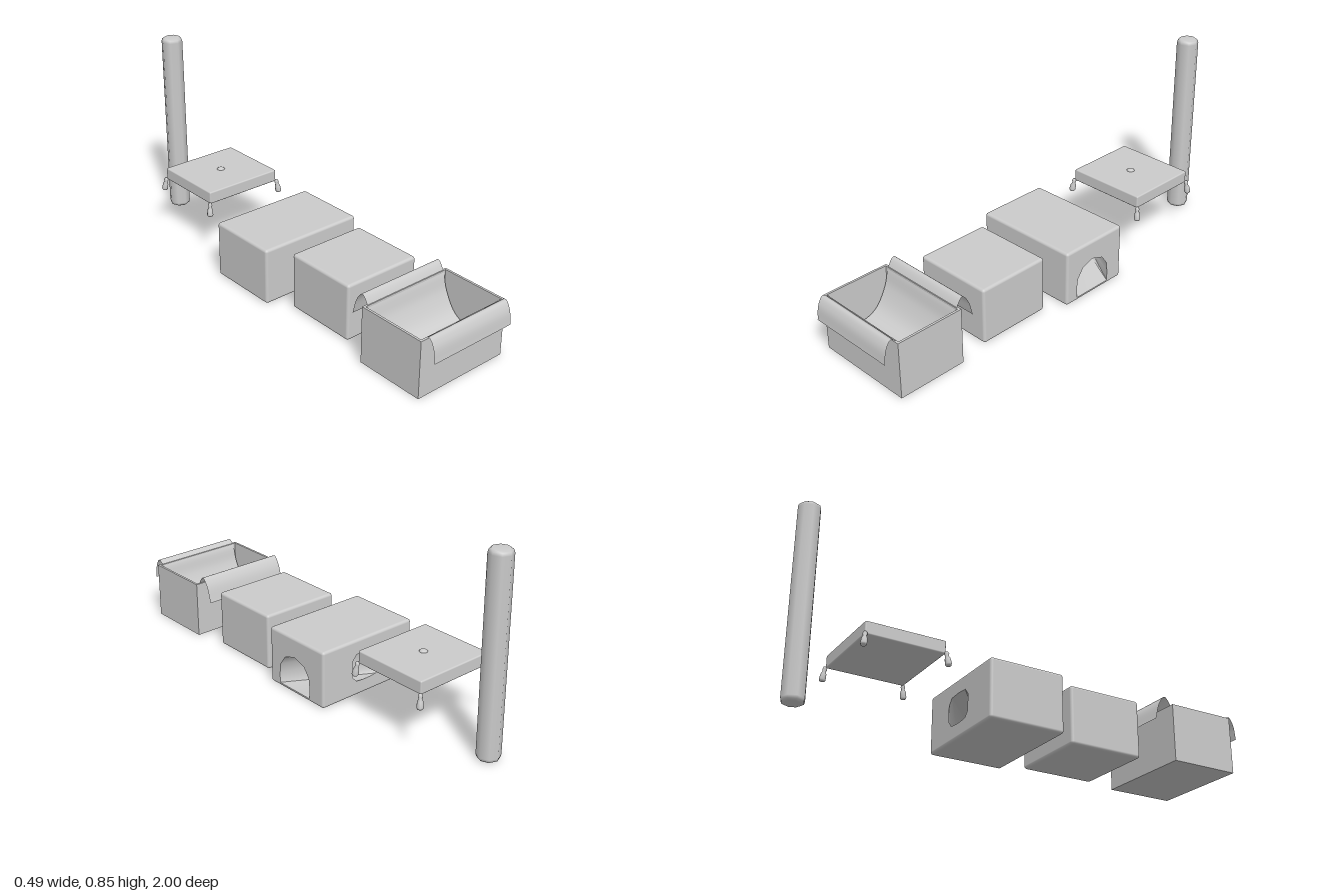
import * as THREE from 'three';
import { RoundedBoxGeometry } from 'three/addons/geometries/RoundedBoxGeometry.js';
import { toCreasedNormals } from 'three/addons/utils/BufferGeometryUtils.js';

const solid = new THREE.MeshStandardMaterial({ color: 0xcccccc });
const thin = new THREE.MeshStandardMaterial({ color: 0xcccccc, side: THREE.DoubleSide });
const v2 = (list) => list.map(([x, y]) => new THREE.Vector2(x, y));

function add(parent, name, geometry, x = 0, y = 0, z = 0, material = solid) {
  const mesh = new THREE.Mesh(geometry, material);
  mesh.name = name;
  mesh.position.set(x, y, z);
  parent.add(mesh);
  return mesh;
}

// Surface between equal-length loops of points
function loft(rows, closed) {
  const n = rows[0].length, pos = [], idx = [];
  rows.forEach((row) => row.forEach((p) => pos.push(...p)));
  for (let r = 0; r < rows.length - 1; r++) {
    for (let i = 0; i < (closed ? n : n - 1); i++) {
      const j = (i + 1) % n, a = r * n + i, b = r * n + j;
      idx.push(a, b, a + n, b, b + n, a + n);
    }
  }
  const g = new THREE.BufferGeometry();
  g.setAttribute('position', new THREE.Float32BufferAttribute(pos, 3));
  g.setIndex(idx);
  g.computeVertexNormals();
  return g;
}

// Drop the flat triangles that the test accepts
function removeFlat(geometry, test) {
  const p = geometry.attributes.position, nrm = geometry.attributes.normal;
  const pos = [], normals = [];
  for (let i = 0; i < p.count; i += 3) {
    const tri = [i, i + 1, i + 2];
    if (tri.every((k) => test(p.getX(k), p.getZ(k)))) continue;
    for (const k of tri) {
      pos.push(p.getX(k), p.getY(k), p.getZ(k));
      normals.push(nrm.getX(k), nrm.getY(k), nrm.getZ(k));
    }
  }
  const g = new THREE.BufferGeometry();
  g.setAttribute('position', new THREE.Float32BufferAttribute(pos, 3));
  g.setAttribute('normal', new THREE.Float32BufferAttribute(normals, 3));
  return g;
}

function rectangle(w, h, cx, cy) {
  return new THREE.Shape(v2([
    [cx - w / 2, cy - h / 2], [cx + w / 2, cy - h / 2],
    [cx + w / 2, cy + h / 2], [cx - w / 2, cy + h / 2],
  ]));
}

// Open basket with a cloth sagging between its front and back rims
function makeBasket() {
  const g = new THREE.Group();
  g.name = 'basket';
  const w = 0.455, d = 0.312, cx = -0.006, cz = 0.791, t = 0.01;
  const walls = rectangle(w, d, 0, 0);
  walls.holes.push(rectangle(w - 2 * t, d - 2 * t, 0, 0));
  const wallGeo = new THREE.ExtrudeGeometry(walls, { depth: 0.252, bevelEnabled: false });
  add(g, 'basketWalls', wallGeo.rotateX(-Math.PI / 2), cx, 0, cz);
  add(g, 'basketFloor', new THREE.BoxGeometry(w - 2 * t, 0.012, d - 2 * t), cx, 0.006, cz);

  // Cloth profile from front hem to back hem, as z and y
  const curve = new THREE.CatmullRomCurve3([
    [0.998, 0.17], [0.988, 0.235], [0.965, 0.268], [0.938, 0.248], [0.915, 0.17],
    [0.86, 0.085], [0.79, 0.06], [0.72, 0.085], [0.665, 0.17], [0.642, 0.25],
    [0.612, 0.288], [0.583, 0.255], [0.56, 0.18],
  ].map(([z, y]) => new THREE.Vector3(0, y, z)));
  const line = curve.getPoints(60);
  const rows = [-0.212, 0.202].map((x) => line.map((p) => [x, p.y, p.z]));
  add(g, 'basketCloth', loft(rows, false), 0, 0, 0, thin);
  return g;
}

// Closed box with a bent tunnel from an arched door to a rear window
function makeHideaway() {
  const g = new THREE.Group();
  g.name = 'hideaway';
  const w = 0.494, h = 0.254, d = 0.336, cz = -0.097, r = 0.012, e = 1e-5;
  const shell = removeFlat(new RoundedBoxGeometry(w, h, d, 3, r),
    (x, z) => x > w / 2 - e || z < -d / 2 + e);
  add(g, 'hideawayShell', shell, 0, h / 2, cz);

  const door = [
    [-0.095, 0.014], [-0.04, 0.014], [0.04, 0.014], [0.095, 0.014], [0.095, 0.06], [0.09, 0.105],
    [0.06, 0.147], [0, 0.168], [-0.06, 0.147], [-0.09, 0.105], [-0.095, 0.06],
  ];
  const rear = [
    [-0.055, 0.066], [-0.02, 0.062], [0.02, 0.062], [0.055, 0.066], [0.077, 0.09], [0.077, 0.162],
    [0.055, 0.188], [0, 0.192], [-0.055, 0.188], [-0.077, 0.162], [-0.077, 0.09],
  ];
  const doorZ = -0.085, rearX = 0.01;
  const side = rectangle(d - 2 * r, h - 2 * r, -cz, h / 2);
  side.holes.push(new THREE.Path(v2(door.map(([u, y]) => [u - doorZ, y]))));
  add(g, 'doorPanel', new THREE.ShapeGeometry(side).rotateY(Math.PI / 2), w / 2, 0, 0);
  const back = rectangle(w - 2 * r, h - 2 * r, 0, h / 2);
  back.holes.push(new THREE.Path(v2(rear.map(([u, y]) => [-(rearX + u), y]))));
  add(g, 'windowPanel', new THREE.ShapeGeometry(back).rotateY(Math.PI), 0, 0, cz - d / 2);

  const tunnel = loft([
    door.map(([u, y]) => [w / 2, y, doorZ - u]),
    rear.map(([u, y]) => [rearX + u, y, cz - d / 2]),
  ], true);
  add(g, 'tunnel', toCreasedNormals(tunnel, 0.7), 0, 0, 0, thin);
  return g;
}

// Flat cushion with a centre button and a tassel at each corner
function makeCushion() {
  const g = new THREE.Group();
  g.name = 'cushion';
  const cx = 0.016, cz = -0.592;
  add(g, 'cushionPad', new RoundedBoxGeometry(0.372, 0.056, 0.342, 2, 0.006), cx, 0.284, cz);
  const button = new THREE.SphereGeometry(0.018, 10, 6).scale(1, 0.5, 1);
  add(g, 'cushionButton', button, cx, 0.312, cz);
  const profile = v2([
    [0, -0.06], [0.011, -0.06], [0.014, -0.053], [0.012, -0.03], [0.007, -0.018],
    [0.01, -0.01], [0.007, 0], [0, 0.003],
  ]);
  for (const sx of [-1, 1]) {
    for (const sz of [-1, 1]) {
      const tassel = add(g, 'tassel', new THREE.LatheGeometry(profile, 8),
        cx + sx * 0.188, 0.262, cz + sz * 0.171);
      tassel.rotation.set(-sz * 0.13, 0, sx * 0.13);
    }
  }
  return g;
}

export function createModel() {
  const model = new THREE.Group();
  model.name = 'petFurnitureSet';
  model.add(makeBasket(), makeHideaway(), makeCushion());

  // Plain block between basket and hideaway
  add(model, 'block', new RoundedBoxGeometry(0.37, 0.254, 0.34, 3, 0.012), 0.009, 0.127, 0.325);

  // Tall post with chamfered ends
  const post = new THREE.LatheGeometry(v2([
    [0, 0], [0.036, 0], [0.045, 0.006], [0.0485, 0.018],
    [0.0485, 0.835], [0.045, 0.847], [0.036, 0.853], [0, 0.853],
  ]), 8);
  add(model, 'post', post, 0.021, 0, -0.9515);
  return model;
}
